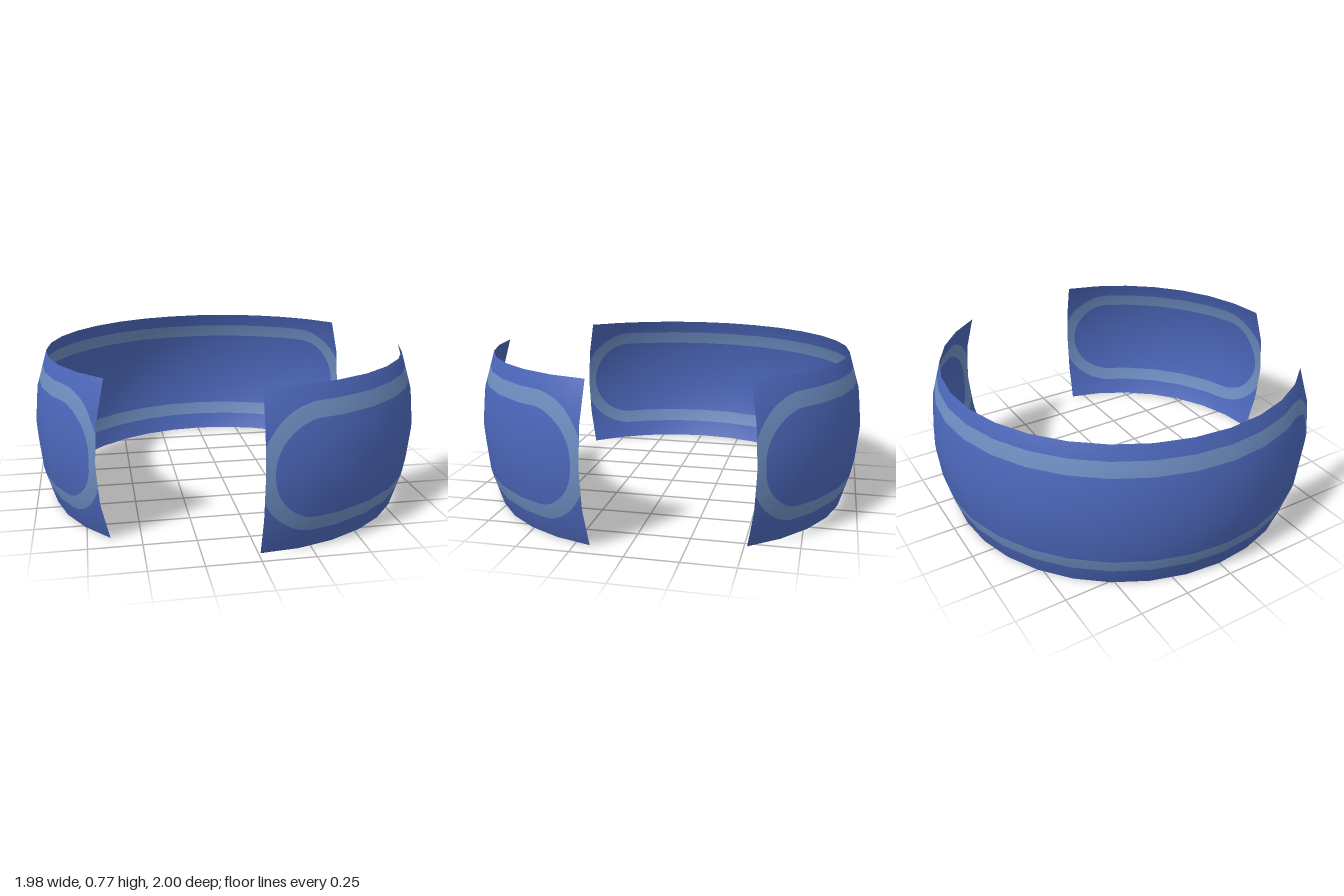
import * as THREE from 'three';

const STEP = Math.PI / 16;              // facet size of the sphere
const HALF = Math.sin(2 * STEP);        // half height of the band
const STRIPE_Y = 0.01;                  // stripe centre above the equator
const OUTER = 0.3, INNER = 0.228;       // stripe loop half heights / end radii
const CAP = 0.273;                      // distance of the round end's centre from the edge

// Point on the faceted unit sphere at an angle round y and a height
function bandPoint(angle, y) {
  const k = Math.floor(angle / STEP + 1e-6), f = angle / STEP - k;
  const a = k * STEP, b = a + STEP;
  const mid = Math.sin(STEP), t = Math.abs(y);
  const r = t < mid
    ? THREE.MathUtils.mapLinear(t, 0, mid, 1, Math.cos(STEP))
    : THREE.MathUtils.mapLinear(t, mid, HALF, Math.cos(STEP), Math.cos(2 * STEP));
  return new THREE.Vector3(
    r * THREE.MathUtils.lerp(Math.cos(a), Math.cos(b), f), y,
    r * THREE.MathUtils.lerp(Math.sin(a), Math.sin(b), f));
}

// Half height of a round-ended loop at distance d from the nearest edge
function loopHeight(d, radius) {
  const t = Math.max(0, CAP - d);
  return Math.sqrt(Math.max(0, radius * radius - t * t));
}

// Surface between pairs of height curves, swept along the columns
function stripGeometry(start, length, columns, regions) {
  const pos = [], nor = [], index = [];
  for (const [low, high, rows] of regions) {
    const base = pos.length / 3;
    columns.forEach((u, i) => {
      const d = Math.min(u, length - u);
      for (let j = 0; j <= rows; j++) {
        const p = bandPoint(start + u, THREE.MathUtils.lerp(low(d), high(d), j / rows));
        pos.push(p.x, p.y, p.z);
        p.normalize();
        nor.push(p.x, p.y, p.z);
        if (i > 0 && j > 0) {
          const c = base + i * (rows + 1) + j, b = c - 1, e = c - rows - 1, a = e - 1;
          index.push(a, e, c, a, c, b);
        }
      }
    });
  }
  const g = new THREE.BufferGeometry();
  g.setAttribute('position', new THREE.Float32BufferAttribute(pos, 3));
  g.setAttribute('normal', new THREE.Float32BufferAttribute(nor, 3));
  g.setIndex(index);
  return g;
}

export function createModel() {
  const blue = new THREE.MeshStandardMaterial({ name: 'blue', color: 0x4b66b9, side: THREE.DoubleSide });
  const paleBlue = new THREE.MeshStandardMaterial({ name: 'paleBlue', color: 0x6c8cbf, side: THREE.DoubleSide });

  const bottom = () => -HALF, top = () => HALF;
  const outLow = d => STRIPE_Y - loopHeight(d, OUTER), outHigh = d => STRIPE_Y + loopHeight(d, OUTER);
  const inLow = d => STRIPE_Y - loopHeight(d, INNER), inHigh = d => STRIPE_Y + loopHeight(d, INNER);

  function curvedPanel(name, first, count) {
    const start = first * STEP, length = count * STEP;
    // Columns at the facet edges, with extra ones round the stripe's ends
    const columns = [];
    for (let i = 0; i <= count; i++) columns.push(i * STEP);
    for (let i = 0; i <= 14; i++) {
      const d = CAP - INNER * Math.cos(i / 14 * Math.PI / 2);
      columns.push(d, length - d);
    }
    for (const d of [0.012, 0.025, 0.036]) columns.push(d, length - d);
    columns.sort((a, b) => a - b);

    const panel = new THREE.Group();
    panel.name = name;
    const shell = new THREE.Mesh(stripGeometry(start, length, columns,
      [[bottom, outLow, 8], [inLow, inHigh, 12], [outHigh, top, 8]]), blue);
    shell.name = name + 'Shell';
    const stripe = new THREE.Mesh(stripGeometry(start, length, columns,
      [[outLow, inLow, 4], [inHigh, outHigh, 4]]), paleBlue);
    stripe.name = name + 'Stripe';
    panel.add(shell, stripe);
    return panel;
  }

  const model = new THREE.Group();
  model.name = 'splitRing';
  model.add(curvedPanel('shortPanel', 1, 7), curvedPanel('longPanel', 12, 17));
  model.position.set(0.01, HALF, 0);
  const root = new THREE.Group();
  root.add(model);
  return root;
}
